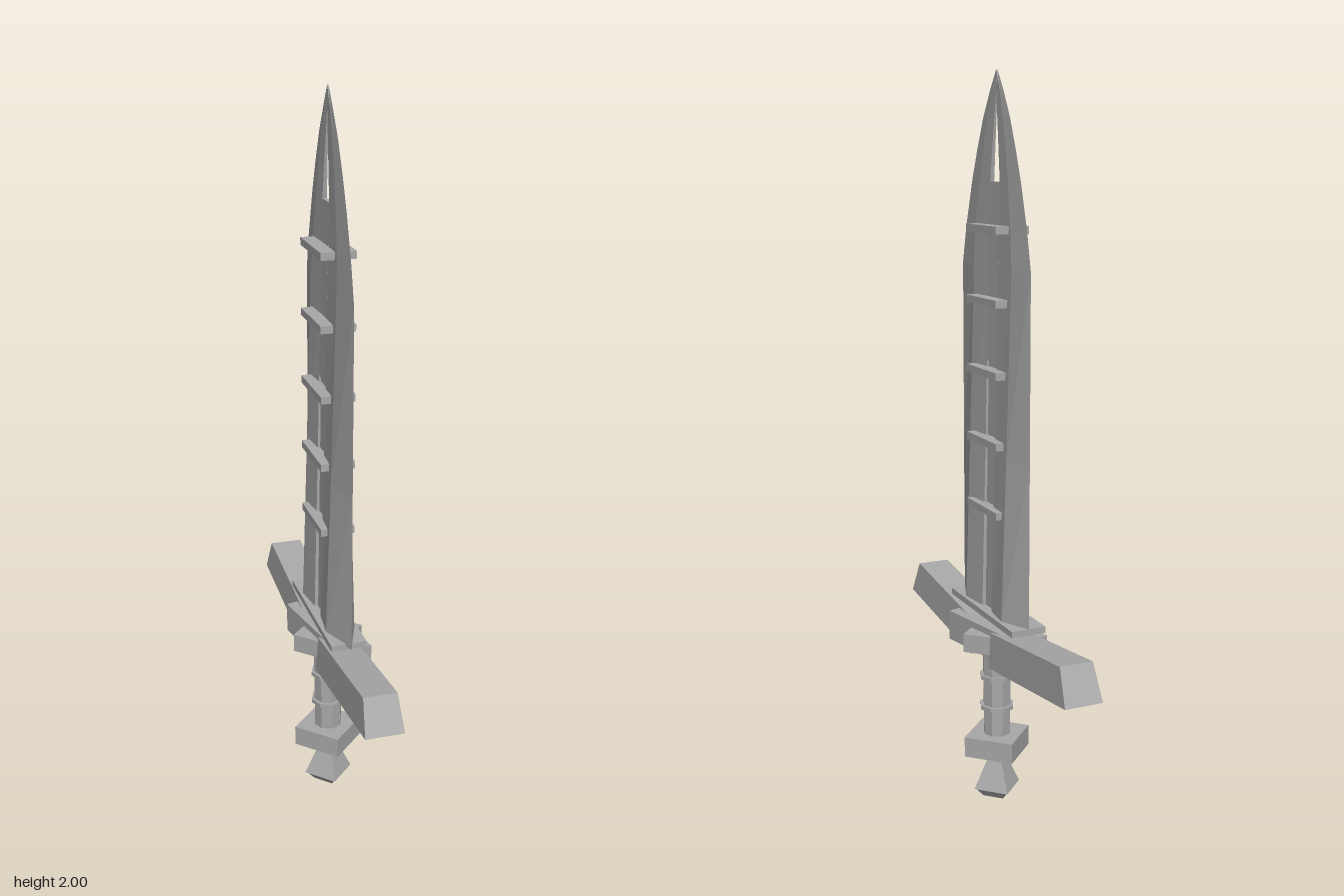
import * as THREE from 'three';

const steel = new THREE.MeshStandardMaterial({ color: 0xa8a8a8 });
steel.name = 'grey steel';

// Skin closed loops of [z, x] (counter-clockwise from above) stacked at given heights
function loft(sections) {
  const pos = [];
  const put = (s, i) => {
    const [z, x] = s.loop[i % s.loop.length];
    pos.push(x, s.y, z);
  };
  for (let k = 0; k + 1 < sections.length; k++) {
    const a = sections[k], b = sections[k + 1];
    for (let i = 0; i < a.loop.length; i++) {
      put(a, i); put(a, i + 1); put(b, i + 1);
      put(a, i); put(b, i + 1); put(b, i);
    }
  }
  const lo = sections[0], hi = sections[sections.length - 1];
  for (let i = 1; i + 1 < lo.loop.length; i++) {
    put(lo, 0); put(lo, i + 1); put(lo, i);
    put(hi, 0); put(hi, i); put(hi, i + 1);
  }
  const g = new THREE.BufferGeometry();
  g.setAttribute('position', new THREE.Float32BufferAttribute(pos, 3));
  g.computeVertexNormals();
  return g;
}

export function createModel() {
  const sword = new THREE.Group();
  sword.name = 'sword';
  const add = (name, geometry, y = 0, turn = 0) => {
    const mesh = new THREE.Mesh(geometry, steel);
    mesh.name = name;
    mesh.position.y = y;
    mesh.rotation.y = turn;
    sword.add(mesh);
    return mesh;
  };
  const flat = (g) => {
    const f = g.toNonIndexed();
    f.computeVertexNormals();
    return f;
  };

  // Blade: two bevelled halves that leave a pointed slot near the tip
  const outline = [[0.555, 1], [1.0, 1], [1.5, 1], [1.6, 0.89], [1.72, 0.71],
    [1.8, 0.56], [1.88, 0.39], [1.95, 0.19], [2, 0.01]];
  const thickness = (y) => 0.002 + 0.039 * Math.pow((2 - y) / 1.445, 1.15);
  const slot = (y) => 0.03 * THREE.MathUtils.clamp((1.95 - y) / 0.23, 0.004, 1);
  for (const side of [1, -1]) {
    const width = side > 0 ? 0.225 : 0.203;
    add('bladeHalf', loft(outline.map(([y, f]) => {
      const w = width * f, t = thickness(y), s = Math.min(slot(y), w * 0.4);
      const m = Math.max(Math.min(0.12, w * 0.58), s * 1.1), c = t * 0.75;
      const loop = [[w, 0], [m, t], [s, c], [s, -c], [m, -t]];
      return { y, loop: side > 0 ? loop : loop.map(([z, x]) => [-z, x]).reverse() };
    })));
  }

  // Centre of the blade: recessed groove below, flush web up to the slot
  const web = (y0, y1, depth) => loft([y0, y1].map((y) => {
    const c = thickness(y) * depth;
    return { y, loop: [[0.03, -c], [0.03, c], [-0.03, c], [-0.03, -c]] };
  }));
  add('bladeGroove', web(0.555, 1.25, 0.5));
  add('bladeWeb', web(1.25, 1.72, 0.75));

  // Cross bars through the blade
  for (let i = 0; i < 5; i++) {
    add('bladeBar', new THREE.BoxGeometry(0.094, 0.02, 0.19), 0.848 + i * 0.188);
  }
  add('bladeBasePlate', new THREE.BoxGeometry(0.1, 0.017, 0.405), 0.553);

  // Guard arms: boxes swept upward, narrower along the top
  const arm = new THREE.BoxGeometry(1, 1, 1);
  const p = arm.attributes.position;
  for (let i = 0; i < p.count; i++) {
    const top = p.getY(i) > 0, outer = p.getZ(i) > 0;
    p.setXYZ(i, Math.sign(p.getX(i)) * (top ? 0.046 : 0.053),
      outer ? (top ? 0.56 : 0.465) : (top ? 0.51 : 0.41),
      outer ? (top ? 0.47 : 0.513) : 0.06);
  }
  arm.computeVertexNormals();
  add('guardArm', arm);
  add('guardArm', arm, 0, Math.PI);

  // Guard centre: slightly twisted block with a diamond block through it
  add('guardBlock', new THREE.BoxGeometry(0.1, 0.085, 0.325), 0.472, 0.2);
  add('guardDiamond', new THREE.BoxGeometry(0.143, 0.052, 0.143), 0.47, Math.PI / 4);

  // Grip with two rings
  add('grip', flat(new THREE.CylinderGeometry(0.042, 0.039, 0.25, 8)), 0.31);
  for (const y of [0.27, 0.36]) {
    add('gripRing', flat(new THREE.CylinderGeometry(0.049, 0.049, 0.012, 8)), y);
  }

  // Pommel: diamond block above a flared four-sided foot
  add('pommelBlock', new THREE.BoxGeometry(0.141, 0.058, 0.141), 0.16, Math.PI / 4);
  add('pommelFlare', flat(new THREE.CylinderGeometry(0.018, 0.07, 0.11, 4)), 0.08);
  add('pommelFoot', flat(new THREE.CylinderGeometry(0.066, 0.042, 0.026, 4)), 0.013);
  return sword;
}
